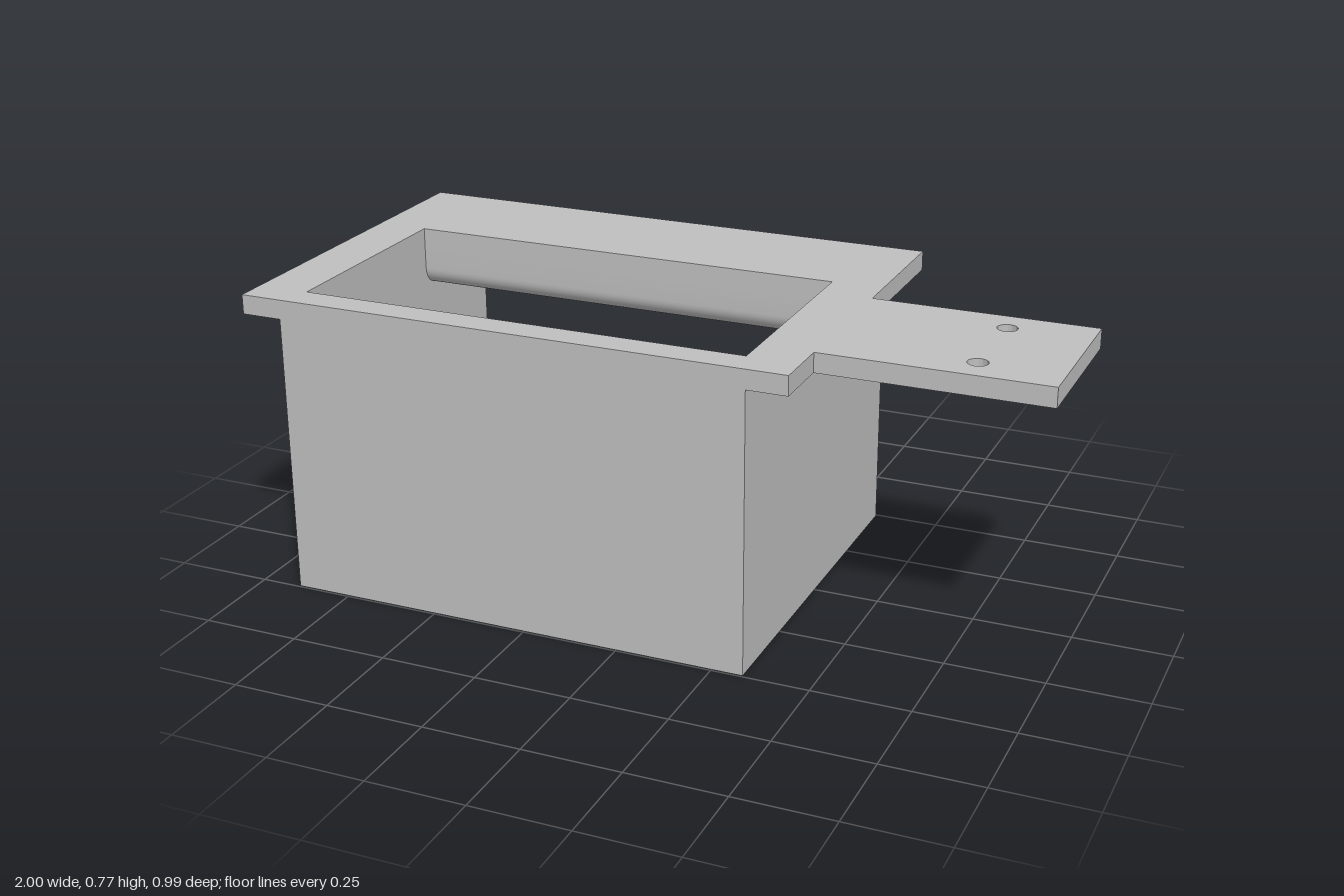
import * as THREE from 'three';
import { toCreasedNormals } from 'three/addons/utils/BufferGeometryUtils.js';

const HEIGHT = 0.775, RIM_Y = 0.725;      // top of the rim and its underside
const BACK = -0.495, FRONT = 0.495;       // body depth
const OUT_L = -0.895, OUT_R = 0.33;       // outer faces of the end walls
const IN_L = -0.865, IN_R = 0.3;          // inner faces of the end walls
const MOUTH_BACK = -0.165, MOUTH_FRONT = 0.415;
const FLOOR = 0.03, OUTLET_TOP = 0.615;   // rear outlet heights

export function createModel() {
  const group = new THREE.Group();
  const grey = new THREE.MeshStandardMaterial({ color: 0xbfbfbf });
  grey.name = 'plain grey';

  const add = (name, geometry) => {
    const mesh = new THREE.Mesh(geometry, grey);
    mesh.name = name;
    group.add(mesh);
    return mesh;
  };
  const extrude = (shape, depth) =>
    new THREE.ExtrudeGeometry(shape, { depth, bevelEnabled: false, curveSegments: 40 });

  // Side profile given as [z, y] points, run between the end walls
  const addProfile = (name, points) => {
    const shape = new THREE.Shape(points.map(([z, y]) => new THREE.Vector2(-z, y)));
    const geometry = extrude(shape, IN_R - IN_L).rotateY(Math.PI / 2).translate(IN_L, 0, 0);
    add(name, toCreasedNormals(geometry, 0.3));
  };
  // Elliptical arc in [z, y], from angle a to angle b
  const arc = (cz, cy, rz, ry, a, b, n) => Array.from({ length: n + 1 }, (_, i) => {
    const t = a + (b - a) * i / n;
    return [cz + rz * Math.cos(t), cy + ry * Math.sin(t)];
  });

  // Curved ramp sweeping from the front of the mouth down to the rear outlet
  addProfile('ramp', [
    [BACK, 0], [FRONT, 0], [FRONT, RIM_Y], [MOUTH_FRONT, RIM_Y],
    ...arc(BACK, OUTLET_TOP, MOUTH_FRONT - BACK, OUTLET_TOP - FLOOR, 0, -Math.PI / 2, 40),
  ]);

  // Beam above the outlet, with a rounded lower inner edge
  const r = 0.05;
  addProfile('outletBeam', [
    [BACK, RIM_Y], [BACK, OUTLET_TOP],
    ...arc(MOUTH_BACK - r, OUTLET_TOP + r, r, r, -Math.PI / 2, 0, 10),
    [MOUTH_BACK, RIM_Y],
  ]);

  // End walls
  for (const [name, x0, x1] of [['rightWall', OUT_L, IN_L], ['leftWall', IN_R, OUT_R]]) {
    add(name, new THREE.BoxGeometry(x1 - x0, RIM_Y, FRONT - BACK))
      .position.set((x0 + x1) / 2, RIM_Y / 2, 0);
  }

  // Rim and mounting tab in one plate, drawn in x and z
  const plate = new THREE.Shape([
    [-1, BACK], [0.433, BACK], [0.433, -0.083], [1, -0.083],
    [1, 0.333], [0.433, 0.333], [0.433, FRONT], [-1, FRONT],
  ].map(([x, z]) => new THREE.Vector2(x, z)));
  plate.holes.push(new THREE.Path([
    [IN_L, MOUTH_BACK], [IN_L, MOUTH_FRONT], [IN_R, MOUTH_FRONT], [IN_R, MOUTH_BACK],
  ].map(([x, z]) => new THREE.Vector2(x, z))));
  for (const z of [0, 0.25]) {
    plate.holes.push(new THREE.Path().absarc(0.795, z, 0.025, 0, Math.PI * 2, true));
  }
  const plateGeometry = extrude(plate, HEIGHT - RIM_Y).rotateX(Math.PI / 2);
  add('rimWithTab', toCreasedNormals(plateGeometry, 0.5)).position.y = HEIGHT;

  return group;
}
